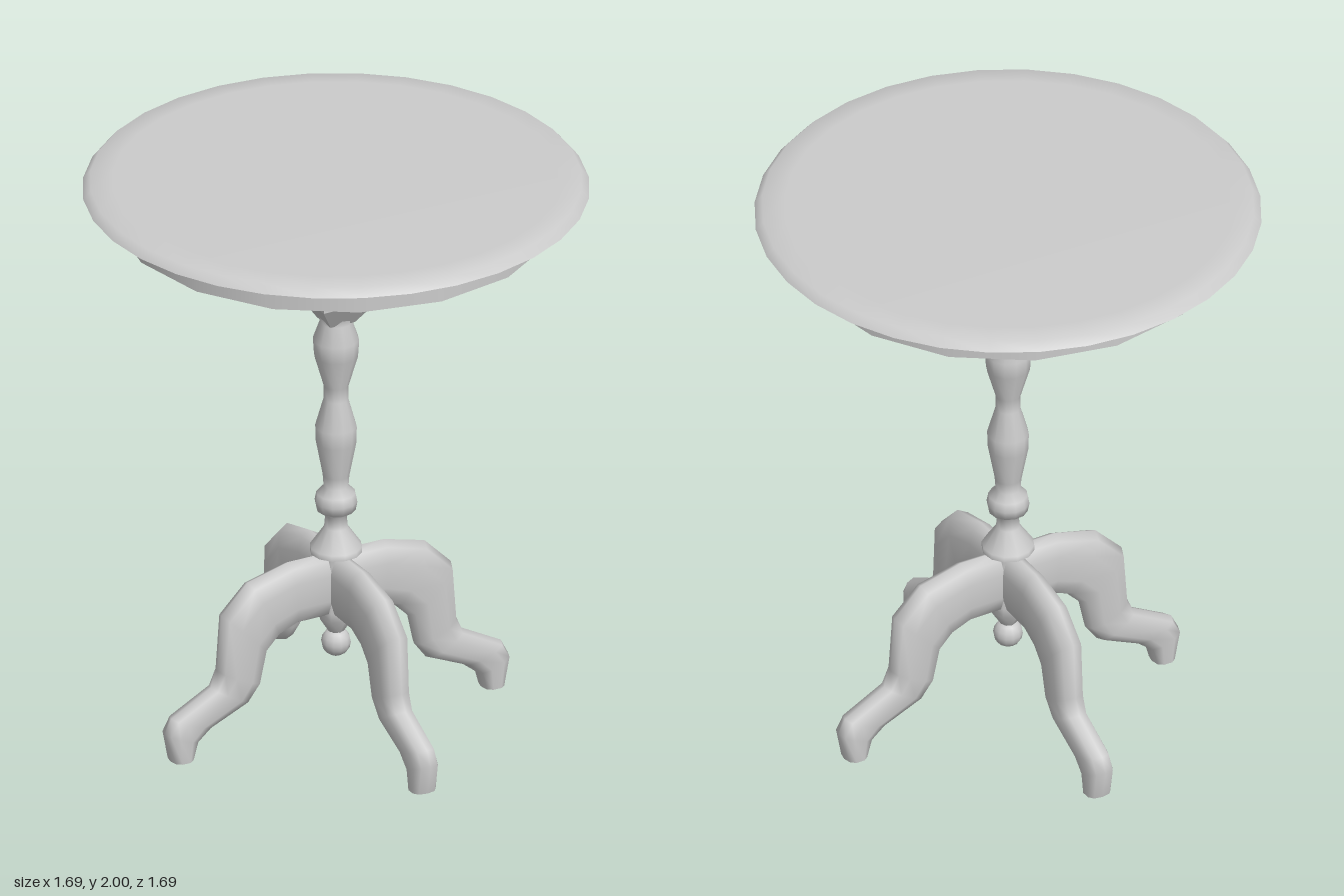
import * as THREE from 'three';

const TWIST = -THREE.MathUtils.degToRad(22); // legs and block are turned off the axes

function material(options = {}) {
  return new THREE.MeshStandardMaterial({ color: 0xcccccc, ...options });
}

function addMesh(parent, name, geometry, options) {
  const mesh = new THREE.Mesh(geometry, material(options));
  mesh.name = name;
  parent.add(mesh);
  return mesh;
}

function lathe(points, segments) {
  return new THREE.LatheGeometry(points.map(([r, y]) => new THREE.Vector2(r, y)), segments);
}

// Loft oval sections, each given as outer r, y, inner r, y and half width
function legGeometry(sections, sides) {
  const positions = [], indices = [];
  const addRing = ([ro, yo, ri, yi, w]) => {
    const start = positions.length / 3;
    const cx = (ro + ri) / 2, cy = (yo + yi) / 2;
    for (let j = 0; j < sides; j++) {
      const a = (j / sides) * Math.PI * 2;
      const c = Math.sign(Math.cos(a)) * Math.abs(Math.cos(a)) ** 0.8;
      const s = Math.sign(Math.sin(a)) * Math.abs(Math.sin(a)) ** 0.8;
      positions.push(cx + (ro - cx) * c, cy + (yo - cy) * c, w * s);
    }
    return start;
  };
  const rings = sections.map(addRing);
  for (let i = 0; i < rings.length - 1; i++) {
    for (let j = 0; j < sides; j++) {
      const k = (j + 1) % sides;
      const a = rings[i] + j, b = rings[i] + k, c = rings[i + 1] + j, d = rings[i + 1] + k;
      indices.push(a, b, c, b, d, c);
    }
  }
  // Flat end caps with their own vertices
  const hip = addRing(sections[0]);
  const sole = addRing(sections[sections.length - 1]);
  for (let j = 1; j < sides - 1; j++) {
    indices.push(hip, hip + j + 1, hip + j, sole, sole + j, sole + j + 1);
  }
  const geometry = new THREE.BufferGeometry();
  geometry.setAttribute('position', new THREE.Float32BufferAttribute(positions, 3));
  geometry.setIndex(indices);
  geometry.computeVertexNormals();
  return geometry;
}

export function createModel() {
  const table = new THREE.Group();
  table.name = 'pedestalTable';

  // Round top with a sloping rim, and a flat underside
  const top = new THREE.Group();
  top.name = 'tableTop';
  table.add(top);
  addMesh(top, 'topSurface', lathe([[0.843, 1.965], [0.818, 1.994], [0.74, 2], [0, 2]], 32));
  addMesh(top, 'topUnderside', lathe([[0, 1.965], [0.843, 1.965]], 32));
  addMesh(top, 'apron', new THREE.CylinderGeometry(0.735, 0.735, 0.107, 16)).position.y = 1.9135;

  // Square block under the top, tapering to the turned column
  const block = new THREE.Group();
  block.name = 'topBlock';
  block.rotation.y = Math.PI / 4 + TWIST;
  table.add(block);
  addMesh(block, 'blockBody', new THREE.CylinderGeometry(0.147, 0.147, 0.29, 4), { flatShading: true }).position.y = 1.715;
  addMesh(block, 'blockTaper', new THREE.CylinderGeometry(0.147, 0.065, 0.09, 4), { flatShading: true }).position.y = 1.525;

  // Turned column
  addMesh(table, 'column', lathe([
    [0.088, 0.63], [0.088, 0.65], [0.04, 0.72], [0.036, 0.765], [0.066, 0.785], [0.072, 0.815],
    [0.066, 0.845], [0.042, 0.87], [0.045, 0.91], [0.068, 1.03], [0.07, 1.09], [0.042, 1.19],
    [0.042, 1.24], [0.074, 1.35], [0.078, 1.41], [0.055, 1.475], [0.06, 1.5],
  ], 12));
  addMesh(table, 'columnShoulder', lathe([[0, 0.63], [0.088, 0.63]], 12));

  // Lower post between the legs, ending in a ball
  addMesh(table, 'lowerPost', lathe([[0.025, 0.335], [0.06, 0.39], [0.056, 0.42], [0.056, 0.64]], 8)).rotation.y = TWIST;
  const ball = addMesh(table, 'ballFinial', new THREE.SphereGeometry(0.05, 12, 8));
  ball.position.y = 0.297;

  // Four curved legs
  const sections = [
    [0.03, 0.63, 0.03, 0.40, 0.045],
    [0.18, 0.63, 0.16, 0.40, 0.048],
    [0.335, 0.59, 0.225, 0.375, 0.054],
    [0.435, 0.49, 0.27, 0.33, 0.056],
    [0.45, 0.29, 0.295, 0.22, 0.052],
    [0.475, 0.235, 0.34, 0.16, 0.048],
    [0.625, 0.155, 0.48, 0.10, 0.048],
    [0.65, 0.105, 0.53, 0.06, 0.048],
    [0.628, 0, 0.55, 0, 0.045],
  ];
  const geometry = legGeometry(sections, 10);
  for (let i = 0; i < 4; i++) {
    addMesh(table, `leg${i + 1}`, geometry).rotation.y = TWIST + (i * Math.PI) / 2;
  }
  return table;
}
